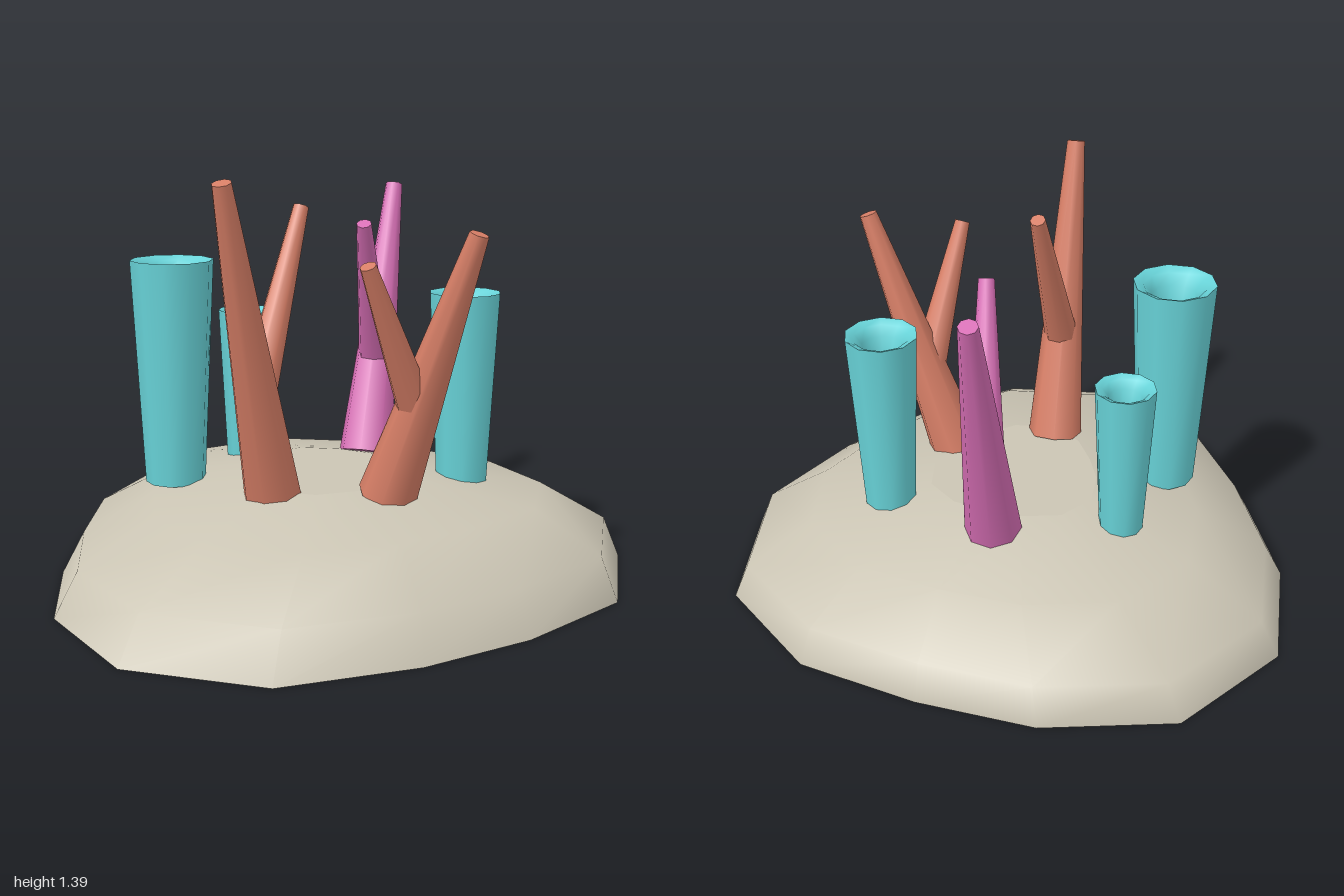
import * as THREE from 'three';

const paint = (name, color) => {
  const m = new THREE.MeshStandardMaterial({ color });
  m.name = name;
  return m;
};

// Right half of the rock outline (x, z), back to front; mirrored for the left
const HALF = [[0.24, -0.98], [0.6, -0.69], [0.82, -0.34], [1, 0.06], [0.975, 0.525], [0.65, 0.87], [0.2, 0.97]];
// Rock layers: height, scale, x offset, z offset
const LAYERS = [[0, 1, 0, 0], [0.14, 0.935, 0.025, -0.01], [0.28, 0.69, 0.045, 0.02], [0.35, 0.3, 0.02, 0.05]];

function rockGeometry() {
  const outline = [...HALF, ...HALF.map(([x, z]) => [-x, z]).reverse()];
  const n = outline.length;
  const pos = [], index = [];
  const ring = ([y, s, ox, oz]) => {
    const start = pos.length / 3;
    outline.forEach(([x, z]) => pos.push(x * s + ox, y, z * s + oz));
    return start;
  };
  // Smooth sides
  const rings = LAYERS.map(ring);
  for (let l = 0; l < rings.length - 1; l++) {
    for (let i = 0; i < n; i++) {
      const j = (i + 1) % n, a = rings[l], b = rings[l + 1];
      index.push(a + j, a + i, b + i, a + j, b + i, b + j);
    }
  }
  // Flat top and underside
  [[LAYERS[3], true], [LAYERS[0], false]].forEach(([layer, up]) => {
    const start = ring(layer), centre = pos.length / 3;
    pos.push(layer[2], layer[0], layer[3]);
    for (let i = 0; i < n; i++) {
      const j = (i + 1) % n;
      index.push(centre, start + (up ? j : i), start + (up ? i : j));
    }
  });
  const g = new THREE.BufferGeometry();
  g.setAttribute('position', new THREE.Float32BufferAttribute(pos, 3));
  g.setIndex(index);
  g.computeVertexNormals();
  return g;
}

// Tapered cylinder between two points
function branch(name, from, to, r0, r1, material) {
  const dir = to.clone().sub(from);
  const mesh = new THREE.Mesh(new THREE.CylinderGeometry(r1, r0, dir.length(), 8), material);
  mesh.name = name;
  mesh.position.copy(from).addScaledVector(dir, 0.5);
  mesh.quaternion.setFromUnitVectors(new THREE.Vector3(0, 1, 0), dir.normalize());
  return mesh;
}

function forkedCoral(name, base, tip, sideTip, material) {
  const g = new THREE.Group();
  g.name = name;
  const b = new THREE.Vector3(...base), t = new THREE.Vector3(...tip);
  g.add(branch('mainBranch', b, t, 0.1, 0.032, material));
  g.add(branch('sideBranch', b.clone().lerp(t, 0.34), new THREE.Vector3(...sideTip), 0.064, 0.027, material));
  return g;
}

// Flared tube with a funnel-shaped mouth
function tubeSponge(name, x, z, top, r, material) {
  const g = new THREE.Group();
  g.name = name;
  const bottom = 0.3;
  const wall = new THREE.Mesh(
    new THREE.CylinderGeometry(r, r * 0.73, top - bottom, 10, 1, true), material);
  wall.name = 'outerWall';
  wall.position.y = (top + bottom) / 2;
  const profile = [[0, -1.7], [0.3, -1.7], [0.42, -0.9], [0.56, -0.35], [0.76, -0.1], [1, 0]]
    .map(([px, py]) => new THREE.Vector2(px * r, top + py * r));
  const mouth = new THREE.Mesh(new THREE.LatheGeometry(profile, 10), material);
  mouth.name = 'mouth';
  g.add(wall, mouth);
  g.position.set(x, 0, z);
  return g;
}

export function createModel() {
  const stone = paint('stone', 0xcbc5b4);
  const clay = paint('clay', 0xd67e66);
  const pink = paint('pink', 0xd86fb6);
  const teal = paint('teal', 0x68d3d8);
  teal.side = THREE.DoubleSide;

  const model = new THREE.Group();
  model.name = 'coralRock';
  const rock = new THREE.Mesh(rockGeometry(), stone);
  rock.name = 'rock';
  model.add(rock);

  // Forked corals
  model.add(
    forkedCoral('rightCoral', [-0.27, 0.33, 0.19], [-0.55, 1.385, 0.395], [-0.12, 1.28, 0.12], clay),
    forkedCoral('frontCoral', [0.06, 0.33, 0.38], [0.2, 1.22, 0.665], [-0.14, 1.13, 0.56], clay),
    forkedCoral('leftCoral', [0.3, 0.33, -0.125], [0.575, 1.305, -0.365], [0.195, 1.2, 0.015], pink));

  // Tube sponges
  model.add(
    tubeSponge('tallTube', -0.42, -0.25, 1.085, 0.145, teal),
    tubeSponge('shortTube', -0.06, -0.385, 0.865, 0.104, teal),
    tubeSponge('leftTube', 0.44, 0.28, 0.975, 0.125, teal));
  return model;
}
